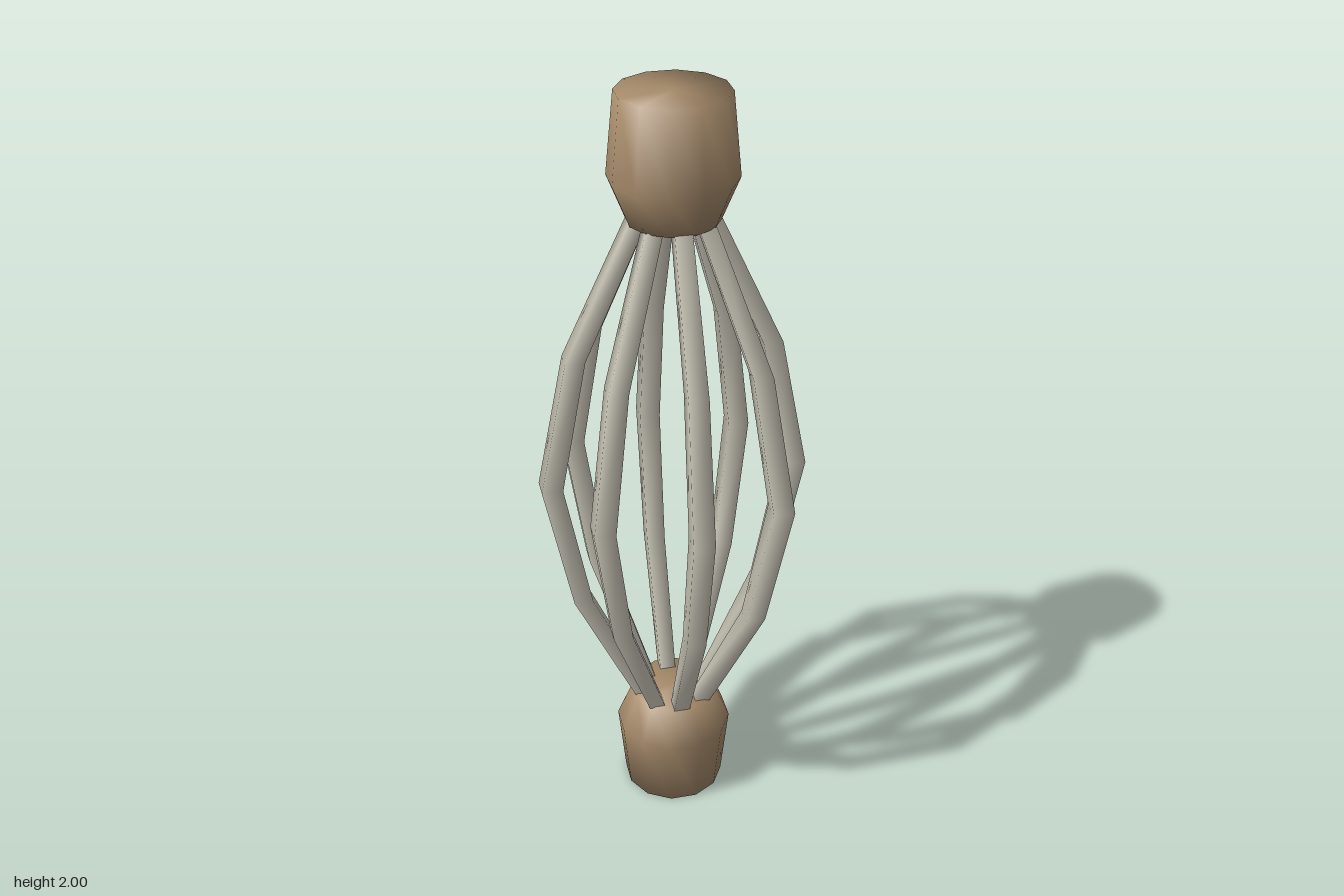
import * as THREE from 'three';
import { mergeVertices } from 'three/addons/utils/BufferGeometryUtils.js';

const wood = new THREE.MeshStandardMaterial({ color: 0xa58a6a });
wood.name = 'tan wood';
const bone = new THREE.MeshStandardMaterial({ color: 0xc4c0b2 });
bone.name = 'pale grey';

// [height, distance from the axis, half width] of a bar, bottom to top
const levels = [
  [0.3, 0.088, 0.03],
  [0.645, 0.245, 0.035],
  [1, 0.314, 0.038],
  [1.355, 0.245, 0.035],
  [1.7, 0.088, 0.03],
];

// Four-sided bowed bar, its corners kept on the world axes
function barGeometry(angle) {
  let g = new THREE.CylinderGeometry(1, 1, 4, 4, 4, true);
  g.deleteAttribute('uv');
  g.deleteAttribute('normal');
  g = mergeVertices(g);
  const p = g.attributes.position;
  for (let i = 0; i < p.count; i++) {
    const [y, r, w] = levels[Math.round(p.getY(i) + 2)];
    p.setXYZ(i, p.getX(i) * w + Math.cos(angle) * r, y, p.getZ(i) * w + Math.sin(angle) * r);
  }
  g.computeVertexNormals();
  return g;
}

export function createModel() {
  const model = new THREE.Group();
  model.name = 'cage';

  // Turned end caps, softly shaded over their rims
  const profile = [[0, 0], [0.135, 0], [0.155, 0.2], [0.112, 0.305], [0, 0.305]]
    .map(([r, y]) => new THREE.Vector2(r, y));
  const capGeometry = new THREE.LatheGeometry(profile, 12);
  const bottomCap = new THREE.Mesh(capGeometry, wood);
  bottomCap.name = 'bottomCap';
  const topCap = new THREE.Mesh(capGeometry, wood);
  topCap.name = 'topCap';
  topCap.rotation.x = Math.PI;
  topCap.position.y = 2;
  model.add(bottomCap, topCap);

  // Eight bowed bars between the caps
  const bars = new THREE.Group();
  bars.name = 'bars';
  for (let i = 0; i < 8; i++) {
    const bar = new THREE.Mesh(barGeometry(i * Math.PI / 4), bone);
    bar.name = 'bar' + (i + 1);
    bars.add(bar);
  }
  model.add(bars);
  return model;
}
